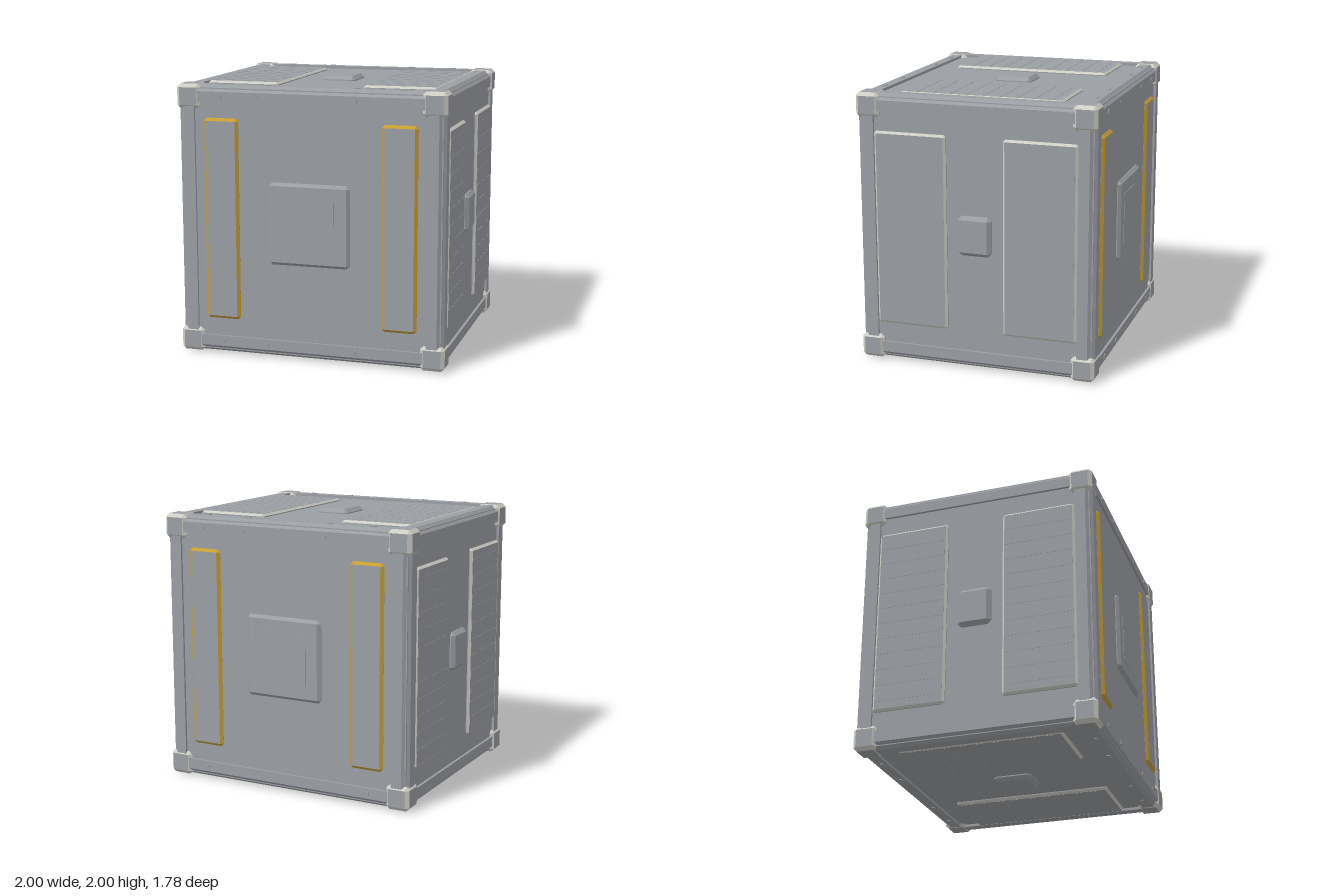
import * as THREE from 'three';
import { ConvexGeometry } from 'three/addons/geometries/ConvexGeometry.js';

const material = (name, color) => new THREE.MeshStandardMaterial({ name, color });

// Box with all edges chamfered; group 0 = flat faces, group 1 = chamfers
function chamferBox(w, h, d, c) {
  const half = [w / 2, h / 2, d / 2];
  const points = [];
  for (const sx of [-1, 1]) for (const sy of [-1, 1]) for (const sz of [-1, 1]) {
    const s = [sx, sy, sz];
    for (let a = 0; a < 3; a++) {
      points.push(new THREE.Vector3(...s.map((v, i) => v * (i === a ? half[i] : half[i] - c))));
    }
  }
  const hull = new ConvexGeometry(points);
  const pos = hull.attributes.position, nor = hull.attributes.normal;
  const lists = [[], []];
  for (let i = 0; i < pos.count; i += 3) {
    const m = Math.max(Math.abs(nor.getX(i)), Math.abs(nor.getY(i)), Math.abs(nor.getZ(i)));
    lists[m > 0.99 ? 0 : 1].push(i, i + 1, i + 2);
  }
  hull.setIndex([...lists[0], ...lists[1]]);
  hull.addGroup(0, lists[0].length, 0);
  hull.addGroup(lists[0].length, lists[1].length, 1);
  return hull;
}

export function createModel() {
  const crate = new THREE.Group();
  crate.name = 'crate';
  const grey = material('grey metal', 0x9b9ea3);
  const pale = material('pale trim', 0xd0cfc5);
  const gold = material('gold trim', 0xc89e2e);

  const add = (name, geometry, mat, x, y, z) => {
    const mesh = new THREE.Mesh(geometry, mat);
    mesh.name = name;
    mesh.position.set(x, y + 1, z);
    crate.add(mesh);
    return mesh;
  };
  const block = (name, size, c, bevel, x, y, z) =>
    add(name, chamferBox(...size, c), [grey, bevel], x, y, z);
  const box = (name, size, x, y, z) => add(name, new THREE.BoxGeometry(...size), grey, x, y, z);

  // Body
  const BX = 0.965, BY = 0.965, BZ = 0.86;
  box('body', [BX * 2, BY * 2, BZ * 2], 0, 0, 0);

  const signs = [-1, 1];

  // Corner caps
  for (const x of signs) for (const y of signs) for (const z of signs) {
    block('cornerCap', [0.18, 0.18, 0.175], 0.026, pale, x * 0.905, y * 0.9, z * 0.797);
  }

  // Edge rails: square bar with its outer edge cut off
  const railShape = () => new THREE.Shape([
    new THREE.Vector2(-0.125, -0.125), new THREE.Vector2(0, -0.125), new THREE.Vector2(0, -0.046),
    new THREE.Vector2(-0.046, 0), new THREE.Vector2(-0.125, 0),
  ]);
  const rail = (name, length, place) => {
    const geometry = new THREE.ExtrudeGeometry(railShape(), { depth: length, bevelEnabled: false });
    geometry.translate(0, 0, -length / 2);
    place(add(name, geometry, grey, 0, 0, 0));
  };
  const EX = 0.984, EY = 0.985, EZ = 0.878;
  for (let k = 0; k < 4; k++) {
    const turn = k * Math.PI / 2;
    const u = k === 0 || k === 3 ? 1 : -1, v = k < 2 ? 1 : -1;
    rail('sideRail', 1.5, (m) => {
      m.rotation.z = turn;
      m.position.set(u * EX, 1 + v * EY, 0);
    });
    rail('crossRail', 1.7, (m) => {
      m.rotation.set(0, Math.PI / 2, turn, 'YXZ');
      m.position.set(0, 1 + v * EY, -u * EZ);
    });
    rail('cornerPost', 1.7, (m) => {
      m.rotation.set(-Math.PI / 2, 0, turn, 'XYZ');
      m.position.set(u * EX, 1, -v * EZ);
    });
  }

  // Small clips along the cross rails
  for (const y of signs) for (const z of signs) for (const x of [-0.67, -0.33, 0.33, 0.67]) {
    box('railClip', [0.04, 0.025, 0.012], x, y * 0.9, z * 0.878);
    box('railClip', [0.04, 0.012, 0.025], x, y * 0.985, z * 0.79);
  }

  for (const s of signs) {
    // Front and back: gold-edged strips and a central hatch
    for (const x of signs) {
      block('goldStrip', [0.26, 1.48, 0.044], 0.021, gold, x * 0.66, 0.01, s * BZ);
    }
    block('hatch', [0.6, 0.6, 0.056], 0.022, grey, 0, 0.005, s * BZ);
    box('hatchPlate', [0.38, 0.38, 0.006], 0, 0.005, s * (BZ + 0.028));

    // Left and right: slatted vents and a knob
    for (const z of signs) {
      block('sideVent', [0.046, 1.43, 0.54], 0.016, pale, s * BX, 0.003, z * 0.48);
      for (let i = 0; i < 11; i++) {
        box('sideVentSlat', [0.006, 0.06, 0.5], s * (BX + 0.022), 0.003 + (i - 5) * 0.122, z * 0.48);
      }
    }
    block('sideKnob', [0.07, 0.29, 0.25], 0.027, grey, s * BX, 0.003, 0);

    // Top and bottom: slatted vents and a knob
    for (const x of signs) {
      block('deckVent', [0.54, 0.046, 1.2], 0.016, pale, x * 0.59, s * BY, 0);
      for (let i = 0; i < 9; i++) {
        box('deckVentSlat', [0.5, 0.006, 0.06], x * 0.59, s * (BY + 0.022), (i - 4) * 0.125);
      }
    }
    block('deckKnob', [0.25, 0.07, 0.29], 0.027, grey, 0, s * BY, 0);
  }
  return crate;
}
